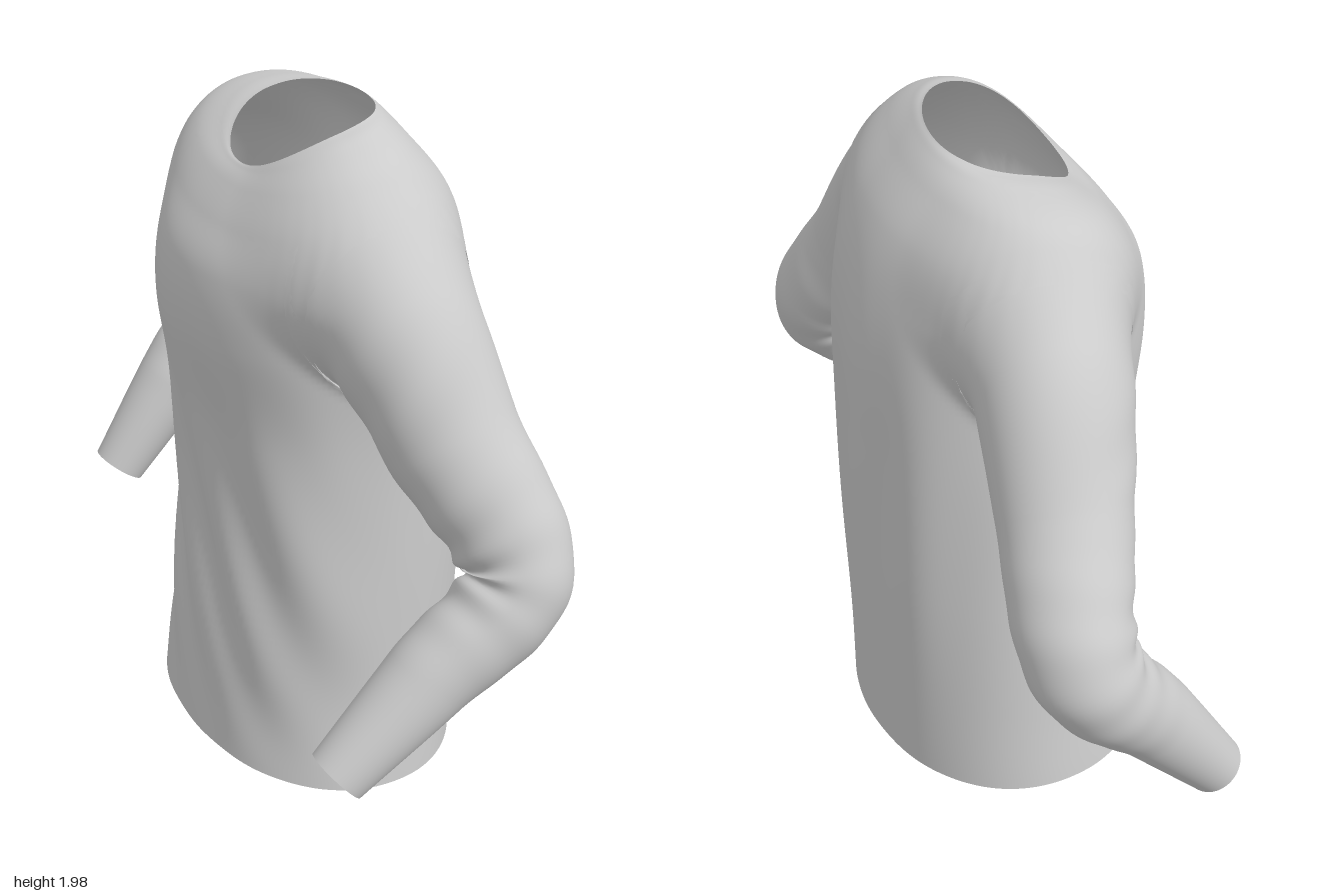
import * as THREE from 'three';

const { clamp, lerp, smoothstep } = THREE.MathUtils;
const cloth = new THREE.MeshStandardMaterial({ color: 0xcccccc, roughness: 0.9, side: THREE.DoubleSide });
const curve = (pts, type) => new THREE.CatmullRomCurve3(pts.map((p) => new THREE.Vector3(...p)), false, type);
const bump = (x, mid, width) => Math.exp(-(((x - mid) / width) ** 2));

// Sleeve stations from shoulder to cuff: x, y, z, radius
const leftArm = [
  [0.28, 1.655, 0.15, 0.19], [0.425, 1.54, 0.23, 0.21], [0.62, 1.27, 0.27, 0.18],
  [0.85, 0.93, 0.295, 0.143], [0.715, 0.69, 0.51, 0.118], [0.58, 0.46, 0.735, 0.084],
];
const rightArm = [
  [-0.27, 1.655, -0.2, 0.19], [-0.4, 1.53, -0.335, 0.206], [-0.54, 1.27, -0.49, 0.178],
  [-0.715, 0.96, -0.66, 0.146], [-0.82, 0.69, -0.48, 0.118], [-0.925, 0.41, -0.3, 0.084],
];
const armPath = (arm) => curve(arm.map((s) => s.slice(0, 3)), 'centripetal');
const armRadius = (arm) => curve(arm.map((s, i) => [i / 4, s[3], 0]), 'centripetal');

// Skin of closed rings: at(t, angle) gives a point; rings share their seam so normals stay smooth
function loft(rows, cols, at) {
  const pos = [], idx = [];
  for (let i = 0; i <= rows; i++) {
    for (let j = 0; j < cols; j++) {
      pos.push(...at(i / rows, (j / cols) * Math.PI * 2).toArray());
      if (i === rows) continue;
      const a = i * cols + j, b = i * cols + ((j + 1) % cols);
      idx.push(a, a + cols, b, b, a + cols, b + cols);
    }
  }
  const g = new THREE.BufferGeometry();
  g.setAttribute('position', new THREE.Float32BufferAttribute(pos, 3));
  g.setIndex(idx);
  g.computeVertexNormals();
  return g;
}

// Torso: turned oval sections from hem to neckline
function bodyGeometry() {
  // centre x, y, z | half width, half depth, turn | rise towards left, towards front, at both sides
  const rings = [
    [-0.02, 0.035, -0.04, 0.51, 0.395, 0.48, -0.03, 0.016, 0],
    [-0.01, 0.3, -0.05, 0.48, 0.385, 0.47, -0.02, 0, 0],
    [0.01, 0.7, -0.055, 0.462, 0.378, 0.47, 0, 0, 0],
    [0.015, 1.1, -0.04, 0.452, 0.388, 0.47, 0, 0, 0],
    [0.015, 1.4, -0.01, 0.45, 0.41, 0.48, 0, 0, 0],
    [0.015, 1.6, 0, 0.46, 0.385, 0.52, 0, -0.01, 0],
    [0.01, 1.75, -0.005, 0.465, 0.32, 0.56, 0, -0.03, 0.01],
    [0, 1.855, 0.005, 0.405, 0.243, 0.58, 0.005, -0.05, 0.015],
    [0.01, 1.905, 0.02, 0.3, 0.197, 0.6, 0.012, -0.062, 0.02],
    [0.015, 1.918, 0.03, 0.235, 0.18, 0.62, 0.015, -0.068, 0.02],
  ];
  const [centre, size, lean] = [0, 3, 6].map((k) => curve(rings.map((r) => r.slice(k, k + 3)), 'catmullrom'));
  return loft(120, 180, (t, th) => {
    const c = centre.getPoint(t), s = size.getPoint(t), l = lean.getPoint(t);
    const co = Math.cos(th), si = Math.sin(th), ct = Math.cos(s.z), st = Math.sin(s.z);
    const round = (v) => Math.sign(v) * Math.abs(v) ** 0.94;
    let u = round(co) * s.x, v = round(si) * s.y;
    // drape: slanting folds across the front, upright ones down the back
    const front = Math.max(0, si) * bump(c.y, 0.7, 0.42);
    const back = Math.max(0, -si) * bump(c.y, 0.95, 0.55);
    const side = Math.max(0, co) ** 3 * bump(c.y, 1.15, 0.35);
    const fold = 0.013 * front * Math.sin((u + 0.5 * c.y) * 26 + 2 * Math.sin(c.y * 3))
      + 0.009 * back * Math.sin(u * 24 + c.y * 1.2)
      - 0.03 * side * bump(si, 0.35, 0.4);
    u += co * fold;
    v += si * fold;
    return new THREE.Vector3(
      c.x + u * ct - v * st,
      Math.max(0, c.y + l.x * co + l.y * si + l.z * Math.cos(2 * th)),
      c.z + u * st + v * ct);
  });
}

// Sleeve: bent tube with gathers in the crook of the elbow and under the arm
function sleeveGeometry(arm) {
  const path = armPath(arm), radii = armRadius(arm);
  const last = arm.length - 1;
  const elbow = new THREE.Vector3(...arm[3]);
  const upper = elbow.clone().sub(new THREE.Vector3(...arm[1]));
  const fore = new THREE.Vector3(...arm[last]).sub(elbow);
  const hinge = upper.cross(fore).normalize();
  return loft(130, 64, (t, th) => {
    const c = path.getPoint(t), tan = path.getTangent(t);
    const side = hinge.clone().addScaledVector(tan, -hinge.dot(tan)).normalize();
    const inward = side.clone().cross(tan);
    const co = Math.cos(th), si = Math.sin(th);
    const crook = bump(t, 3 / last, 0.11) * (0.2 + 0.8 * Math.max(0, co));
    const armpit = bump(t, 0.34, 0.12) * Math.max(0, 0.6 * co + 0.4);
    const r = radii.getPoint(t).y
      + 0.011 * crook * Math.sin(t * 95 + 1.5 * si)
      + 0.004 * armpit * Math.sin(t * 50 + 3 * th)
      + 0.003 * Math.sin(3 * th + t * 14) * (1 - t);
    return c.addScaledVector(inward, r * co).addScaledVector(side, -r * si);
  });
}

// Signed distance and outward direction from a cloud of surface points with normals
function bodyField(geometry) {
  const p = geometry.attributes.position.array.slice(), n = geometry.attributes.normal.array.slice();
  return (q) => {
    let best = Infinity, at = 0;
    for (let i = 0; i < p.length; i += 12) {
      const d = (p[i] - q.x) ** 2 + (p[i + 1] - q.y) ** 2 + (p[i + 2] - q.z) ** 2;
      if (d < best) { best = d; at = i; }
    }
    const dir = new THREE.Vector3().fromArray(n, at);
    return { d: q.clone().sub(new THREE.Vector3().fromArray(p, at)).dot(dir), dir };
  };
}

// The same for the upper arms, as a row of balls
function armField(arms) {
  const balls = arms.flatMap((arm) => Array.from({ length: 40 }, (_, i) => (
    { c: armPath(arm).getPoint(i / 66), r: armRadius(arm).getPoint(i / 66).y })));
  return (q) => {
    let d = Infinity, near;
    for (const b of balls) {
      const e = b.c.distanceTo(q) - b.r;
      if (e < d) { d = e; near = b; }
    }
    return { d, dir: q.clone().sub(near.c).normalize() };
  };
}

// Pull a skin onto the rounded join with the other part and cut away what lies inside it
function sew(geometry, own, other) {
  const pos = geometry.attributes.position, inside = [];
  const p = new THREE.Vector3();
  for (let i = 0; i < pos.count; i++) {
    p.fromBufferAttribute(pos, i);
    const gap = other(p).d;
    inside.push(gap < -0.05);
    if (gap > 0.2 || inside[i]) continue;
    const width = lerp(0.04, 0.18, smoothstep(p.y, 1.25, 1.6));
    const start = own(p).d; // keeps the folds
    for (let step = 0; step < 3; step++) {
      const a = own(p), b = other(p);
      const h = clamp(0.5 + (a.d - start - b.d) / (2 * width), 0, 1);
      const f = lerp(a.d - start, b.d, h) - width * h * (1 - h);
      const g = a.dir.lerp(b.dir, h);
      p.addScaledVector(g, -f / Math.max(0.4, g.lengthSq()));
    }
    pos.setXYZ(i, p.x, p.y, p.z);
  }
  const idx = geometry.index.array, kept = [];
  for (let i = 0; i < idx.length; i += 3) {
    const tri = [idx[i], idx[i + 1], idx[i + 2]];
    if (!tri.some((k) => inside[k])) kept.push(...tri);
  }
  geometry.setIndex(kept);
  geometry.computeVertexNormals();
}

export function createModel() {
  const shirt = new THREE.Group();
  shirt.name = 'longSleeveShirt';
  const add = (name, geometry, own, other) => {
    sew(geometry, own, other);
    const mesh = new THREE.Mesh(geometry, cloth);
    mesh.name = name;
    shirt.add(mesh);
  };
  const body = bodyGeometry(), toBody = bodyField(body);
  add('body', body, toBody, armField([leftArm, rightArm]));
  add('leftSleeve', sleeveGeometry(leftArm), armField([leftArm]), toBody);
  add('rightSleeve', sleeveGeometry(rightArm), armField([rightArm]), toBody);
  return shirt;
}
